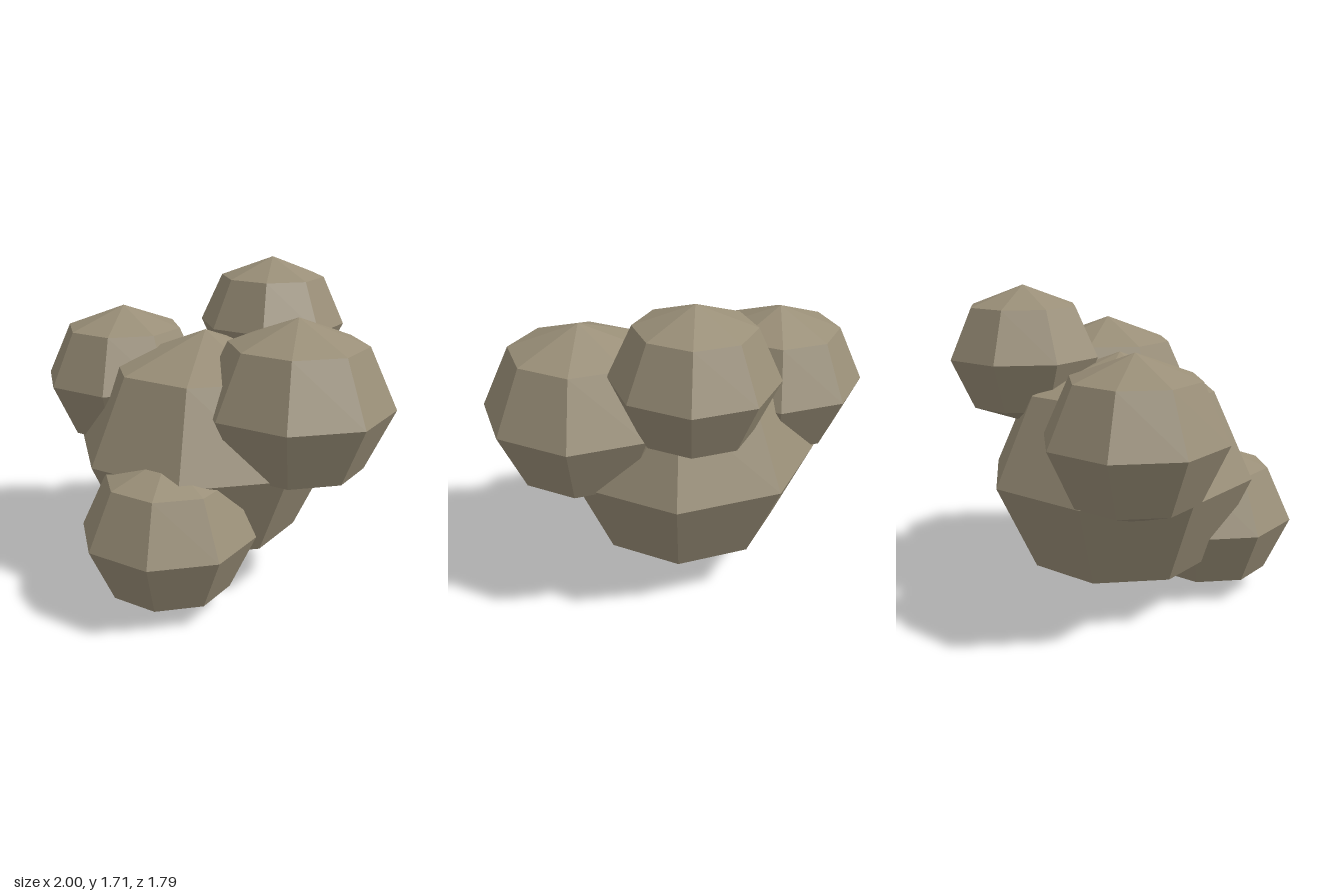
import * as THREE from 'three';

export function createModel() {
  const group = new THREE.Group();
  group.name = 'boulderCluster';
  const stone = new THREE.MeshStandardMaterial({ color: 0x9a8f78, flatShading: true });
  stone.name = 'stone';

  // name, centre, horizontal radius, vertical radius
  const boulders = [
    ['coreBoulder', [-0.03, 0.725, -0.083], 0.714, 0.643],
    ['leftBoulder', [0.485, 1.034, 0.125], 0.511, 0.459],
    ['rightBoulder', [-0.54, 1.032, -0.287], 0.459, 0.413],
    ['backBoulder', [0.28, 1.343, -0.49], 0.408, 0.367],
    ['frontBoulder', [-0.13, 0.417, 0.436], 0.459, 0.413],
  ];

  // Slightly squashed, coarse eight-sided spheres that overlap
  for (const [name, centre, radius, height] of boulders) {
    const geometry = new THREE.SphereGeometry(1, 8, 4).scale(radius, height, radius);
    const boulder = new THREE.Mesh(geometry, stone);
    boulder.name = name;
    boulder.position.set(...centre);
    group.add(boulder);
  }
  return group;
}
